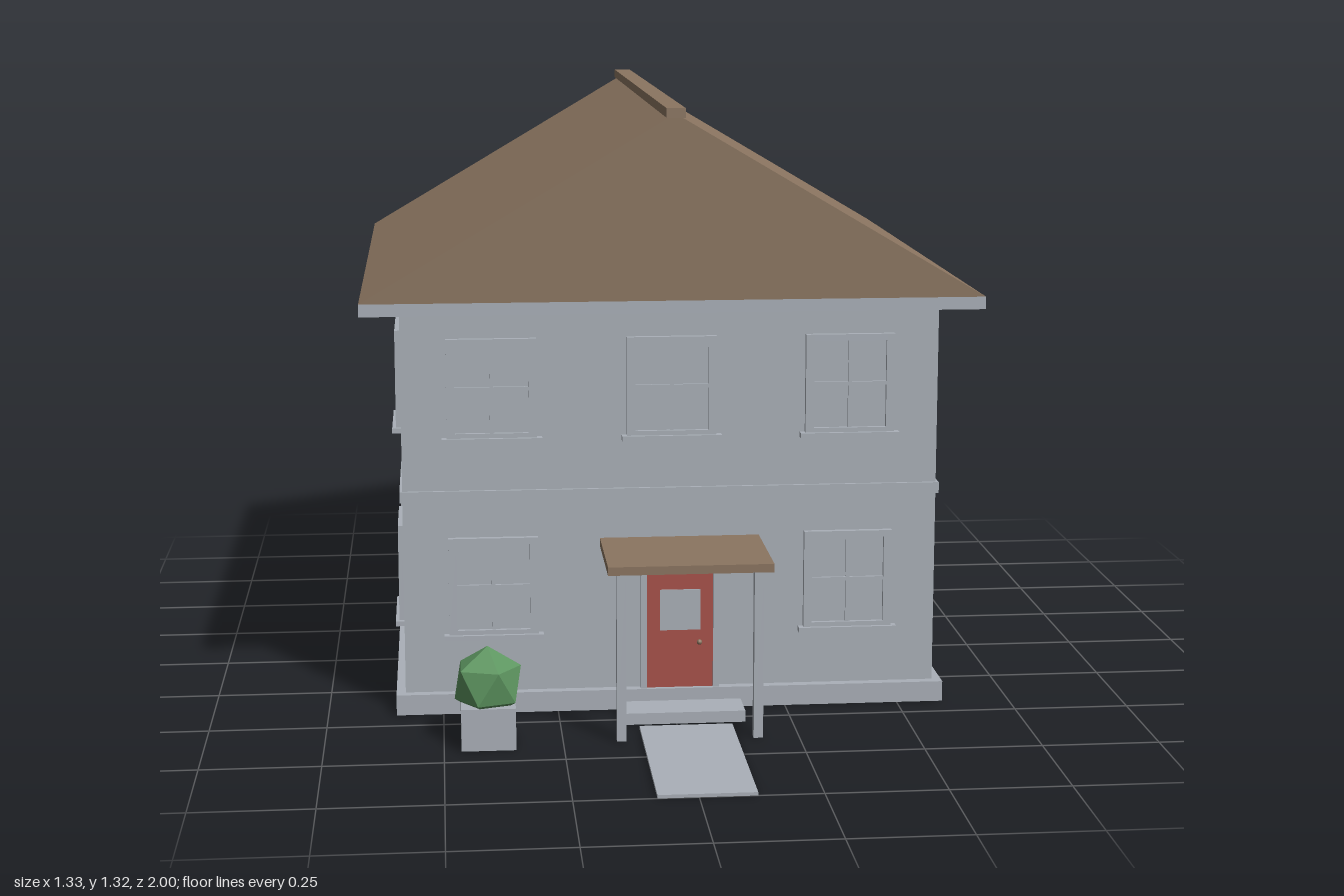
import * as THREE from 'three';

const mat = (name, color) => {
  const m = new THREE.MeshStandardMaterial({ color });
  m.name = name;
  return m;
};

export function createModel() {
  const grey = mat('pale grey', 0xaab0b8);
  const brown = mat('roof brown', 0x8b7560);
  const red = mat('door red', 0xa8524a);
  const green = mat('leaf green', 0x5d9560);
  const house = new THREE.Group();
  house.name = 'house';

  const add = (parent, name, geometry, material) => {
    const mesh = new THREE.Mesh(geometry, material);
    mesh.name = name;
    parent.add(mesh);
    return mesh;
  };
  // Box given by its extents on each axis
  const box = (parent, name, material, [x0, x1], [y0, y1], [z0, z1]) => {
    const mesh = add(parent, name, new THREE.BoxGeometry(x1 - x0, y1 - y0, z1 - z0), material);
    mesh.position.set((x0 + x1) / 2, (y0 + y1) / 2, (z0 + z1) / 2);
    return mesh;
  };

  // Main body
  box(house, 'foundation', grey, [-0.602, 0.602], [0, 0.045], [-0.918, 0.428]);
  box(house, 'walls', grey, [-0.582, 0.582], [0.045, 0.89], [-0.897, 0.407]);
  box(house, 'beltCourse', grey, [-0.588, 0.588], [0.47, 0.494], [-0.904, 0.414]);

  // Roof
  box(house, 'eaves', grey, [-0.665, 0.665], [0.888, 0.915], [-0.984, 0.494]);
  const gable = new THREE.Shape();
  gable.moveTo(-0.665, 0.915);
  gable.lineTo(0.665, 0.915);
  gable.lineTo(0, 1.308);
  gable.closePath();
  const roof = new THREE.ExtrudeGeometry(gable, { depth: 1.478, bevelEnabled: false });
  roof.translate(0, 0, -0.984);
  add(house, 'roof', roof, brown);
  box(house, 'ridgeCap', brown, [-0.02, 0.02], [1.3, 1.32], [-1, 0.506]);

  // Sash window: faces local +z, origin at the wall, bottom centre
  const addWindow = (x, y, z, turn) => {
    const g = new THREE.Group();
    g.name = 'window';
    const w = 0.097, h = 0.217, d = 0.013;
    box(g, 'glass', grey, [-w, w], [0, h], [-0.003, 0.004]);
    for (const s of [-1, 1]) {
      const a = s * w, b = s * (w - 0.018);
      box(g, 'frameSide', grey, [Math.min(a, b), Math.max(a, b)], [0, h], [0, d]);
    }
    box(g, 'frameTop', grey, [-w + 0.018, w - 0.018], [h - 0.014, h], [0, d]);
    box(g, 'frameBottom', grey, [-w + 0.018, w - 0.018], [0, 0.012], [0, d]);
    box(g, 'mullion', grey, [-0.004, 0.004], [0.012, h - 0.012], [0, 0.01]);
    box(g, 'glazingBar', grey, [-w + 0.016, w - 0.016], [h / 2 - 0.004, h / 2 + 0.004], [0, 0.01]);
    box(g, 'sill', grey, [-0.108, 0.108], [-0.009, 0.002], [0, 0.021]);
    g.position.set(x, y, z);
    g.rotation.y = turn;
    house.add(g);
  };
  for (const y of [0.173, 0.609]) {
    for (const x of [-0.388, 0, 0.388]) {
      if (x !== 0 || y > 0.5) addWindow(x, y, 0.407, 0);
    }
    for (const x of [-0.291, 0.291]) addWindow(x, y, -0.897, Math.PI);
    for (const z of [0.19, -0.245, -0.68]) {
      for (const s of [-1, 1]) addWindow(s * 0.582, y, z, s * Math.PI / 2);
    }
  }

  // Front door, slightly right of the centre line
  const entry = new THREE.Group();
  entry.name = 'entrance';
  entry.position.x = 0.018;
  house.add(entry);
  box(entry, 'doorFrameLeft', grey, [0.073, 0.086], [0.045, 0.322], [0.4, 0.424]);
  box(entry, 'doorFrameRight', grey, [-0.086, -0.073], [0.045, 0.322], [0.4, 0.424]);
  box(entry, 'doorFrameTop', grey, [-0.073, 0.073], [0.31, 0.322], [0.4, 0.424]);
  box(entry, 'door', red, [-0.073, 0.073], [0.045, 0.31], [0.4, 0.417]);
  box(entry, 'doorGlass', grey, [-0.044, 0.045], [0.175, 0.266], [0.415, 0.42]);
  const knob = add(entry, 'doorKnob', new THREE.SphereGeometry(0.006, 12, 8), brown);
  knob.position.set(0.043, 0.147, 0.421);

  // Canopy, posts, step and path
  box(entry, 'canopy', brown, [-0.174, 0.174], [0.365, 0.383], [0.4, 0.664]);
  for (const x of [-0.145, 0.145]) {
    box(entry, 'canopyPost', grey, [x - 0.01, x + 0.01], [0, 0.365], [0.627, 0.647]);
  }
  box(entry, 'step', grey, [-0.131, 0.131], [0, 0.025], [0.45, 0.537]);
  box(entry, 'path', grey, [-0.101, 0.099], [0, 0.007], [0.567, 1]);

  // Planter with a faceted bush standing on one point
  box(house, 'planter', grey, [-0.464, -0.35], [0, 0.09], [0.567, 0.683]);
  const leaves = new THREE.IcosahedronGeometry(0.078, 0);
  leaves.rotateZ(-Math.atan(2 / (1 + Math.sqrt(5))));
  add(house, 'bush', leaves, green).position.set(-0.407, 0.132, 0.625);

  return house;
}
